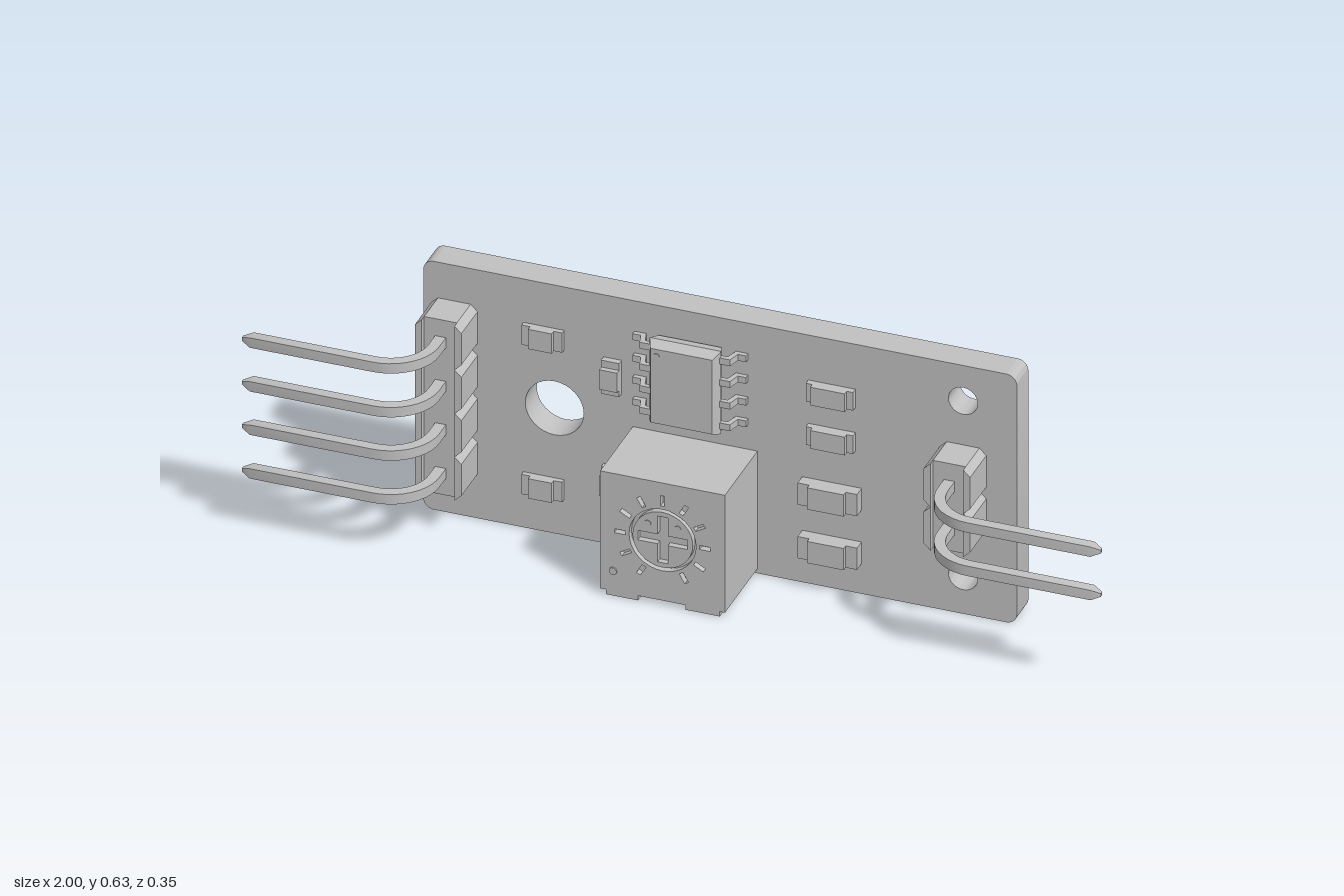
import * as THREE from 'three';
import { toCreasedNormals } from 'three/addons/utils/BufferGeometryUtils.js';

const FACE = -0.062; // front surface of the circuit board

export function createModel() {
  const model = new THREE.Group();
  model.name = 'sensorBoard';
  const grey = new THREE.MeshStandardMaterial({ color: 0xc0c0c0 });
  grey.name = 'lightGrey';

  const add = (name, geometry, parent = model) => {
    const mesh = new THREE.Mesh(geometry, grey);
    mesh.name = name;
    parent.add(mesh);
    return mesh;
  };
  const group = (name, x = 0, y = 0) => {
    const g = new THREE.Group();
    g.name = name;
    g.position.set(x, y, 0);
    model.add(g);
    return g;
  };
  // Box given by its limits on each axis
  const box = (name, x0, x1, y0, y1, z0, z1, parent) => {
    const mesh = add(name, new THREE.BoxGeometry(x1 - x0, y1 - y0, z1 - z0), parent);
    mesh.position.set((x0 + x1) / 2, (y0 + y1) / 2, (z0 + z1) / 2);
    return mesh;
  };
  const polygon = (pts) => new THREE.Shape(pts.map(([x, y]) => new THREE.Vector2(x, y)));
  const slab = (shape, z0, z1, curveSegments = 16) => {
    const g = new THREE.ExtrudeGeometry(shape, { depth: z1 - z0, bevelEnabled: false, curveSegments });
    g.translate(0, 0, z0);
    return toCreasedNormals(g, 0.6);
  };
  const circle = (x, y, r) => new THREE.Path().absarc(x, y, r, 0, Math.PI * 2, true);
  // Skin over equal-sized closed loops, capped at both ends
  const loft = (loops) => {
    const n = loops[0].length;
    const index = [];
    for (let i = 0; i < loops.length - 1; i++) {
      for (let j = 0; j < n; j++) {
        const a = i * n + j, b = i * n + (j + 1) % n;
        index.push(a, b, b + n, a, b + n, a + n);
      }
    }
    const end = (loops.length - 1) * n;
    for (let j = 1; j < n - 1; j++) index.push(0, j + 1, j, end, end + j, end + j + 1);
    const g = new THREE.BufferGeometry();
    g.setAttribute('position', new THREE.Float32BufferAttribute(loops.flat(2), 3));
    g.setIndex(index);
    return toCreasedNormals(g, 0.5);
  };

  // Circuit board with rounded corners and mounting holes
  const [l, r, t, c] = [-0.665, 0.715, 0.63, 0.025];
  const board = new THREE.Shape();
  board.absarc(r - c, c, c, -Math.PI / 2, 0);
  board.absarc(r - c, t - c, c, 0, Math.PI / 2);
  board.absarc(l + c, t - c, c, Math.PI / 2, Math.PI);
  board.absarc(l + c, c, c, Math.PI, Math.PI * 1.5);
  board.closePath();
  board.holes.push(circle(-0.36, 0.318, 0.068), circle(0.59, 0.54, 0.034), circle(0.59, 0.095, 0.034));
  add('circuitBoard', slab(board, -0.132, FACE));

  // Bent square pin with tapered tips
  const h = 0.0125, bend = 0.1;
  const stations = [[0, -0.172, 0, 0.007], [0, -0.162, 0, h]];
  for (let i = 0; i <= 10; i++) {
    const a = (i / 10) * Math.PI / 2;
    stations.push([bend * (1 - Math.cos(a)), 0.062 + bend * Math.sin(a), a, h]);
  }
  stations.push([0.386, 0.162, Math.PI / 2, h], [0.407, 0.162, Math.PI / 2, 0.004]);
  const pinGeometry = loft(stations.map(([x, z, a, s]) =>
    [[-1, -1], [1, -1], [1, 1], [-1, 1]].map(([u, v]) =>
      [x + u * s * Math.cos(a), v * s, z - u * s * Math.sin(a)])));

  // Pin headers: chamfered cells with raised side walls
  const core = slab(polygon([[-0.054, -0.04], [-0.038, -0.0555], [0.038, -0.0555], [0.054, -0.04],
    [0.054, 0.04], [0.038, 0.0555], [-0.038, 0.0555], [-0.054, 0.04]]), FACE, 0.022);
  const wall = slab(polygon([[0.038, -0.0555], [0.054, -0.04], [0.054, 0.04], [0.038, 0.0555]]), 0.022, 0.037);
  const header = (name, x, rows, turn) => {
    for (const y of rows) {
      const cell = group(name, x, y);
      cell.rotation.z = turn;
      add('headerCell', core, cell);
      add('headerWall', wall, cell);
      add('headerWall', wall, cell).rotation.z = Math.PI;
      add('bentPin', pinGeometry, cell);
    }
  };
  header('rightHeader', -0.593, [0.152, 0.263, 0.373, 0.484], Math.PI);
  header('leftHeader', 0.59, [0.263, 0.373], 0);

  // Trimmer: housing, slotted dial, scale grooves and feet
  const cx = -0.033, cy = 0.165;
  box('trimmerHousing', -0.178, 0.112, 0.012, 0.31, FACE, 0.122);
  const cover = polygon([[-0.178, 0.012], [0.112, 0.012], [0.112, 0.31], [-0.178, 0.31]]);
  cover.holes.push(circle(cx, cy, 0.078));
  for (let i = 0; i < 11; i++) {
    const a = -Math.PI / 2 + (i + 1) * Math.PI / 6;
    const [ca, sa] = [Math.cos(a), Math.sin(a)];
    const corners = [[0.086, -0.005], [0.112, -0.005], [0.112, 0.005], [0.086, 0.005]];
    cover.holes.push(polygon(corners.map(([u, v]) => [cx + u * ca - v * sa, cy + u * sa + v * ca])));
  }
  add('trimmerCover', slab(cover, 0.122, 0.137));
  const dial = new THREE.Shape().absarc(cx, cy, 0.07, 0, Math.PI * 2);
  const [a, b] = [0.012, 0.058];
  dial.holes.push(polygon([[-a, -b], [a, -b], [a, -a], [b, -a], [b, a], [a, a], [a, b], [-a, b],
    [-a, a], [-b, a], [-b, -a], [-a, -a]].map(([x, y]) => [cx + x, cy + y])));
  add('trimmerDial', slab(dial, 0.122, 0.136));

  const rod = (name, x, y, radius, z0, z1) => {
    const g = new THREE.CylinderGeometry(radius, radius, z1 - z0, 16);
    g.rotateX(Math.PI / 2);
    add(name, g).position.set(x, y, (z0 + z1) / 2);
  };
  rod('markerDot', -0.148, 0.063, 0.009, 0.13, 0.14);
  for (const x of [-0.068, 0.002]) rod('dialDot', x, 0.2, 0.008, 0.13, 0.138);
  for (const [x0, x1] of [[-0.165, -0.09], [0.02, 0.1]]) box('trimmerFoot', x0, x1, 0, 0.012, FACE, 0.137);
  for (const [x, y] of [[-0.145, 0.158], [-0.033, 0.275], [0.08, 0.158]]) {
    rod('trimmerPin', x, y, 0.01, -0.15, -0.12);
  }

  // Chip with drafted sides and four leads on each side
  const chip = group('chip', -0.042, 0.463);
  const rect = (w, d, z) => [[-w, -d, z], [w, -d, z], [w, d, z], [-w, d, z]];
  add('chipBody', loft([rect(0.073, 0.096, -0.056), rect(0.083, 0.105, -0.026), rect(0.072, 0.094, -0.001)]), chip);
  const leadShape = polygon([[0.075, -0.022], [0.105, -0.022], [0.113, -0.05], [0.132, -0.05],
    [0.132, -0.061], [0.104, -0.061], [0.096, -0.033], [0.075, -0.033]]);
  const leadGeometry = slab(leadShape, -0.008, 0.008);
  leadGeometry.rotateX(Math.PI / 2); // profile height becomes depth
  for (const turn of [0, Math.PI]) {
    for (let i = 0; i < 4; i++) {
      const holder = new THREE.Group();
      holder.name = 'chipLead';
      holder.rotation.z = turn;
      holder.position.y = (i - 1.5) * 0.055;
      add('lead', leadGeometry, holder);
      chip.add(holder);
    }
  }
  rod('chipMark', -0.1, 0.54, 0.007, -0.004, 0.001);

  // Small surface parts: raised body between two lower end caps
  const component = (name, x, y, length, bodyLength, width, top, turn = 0) => {
    const g = group(name, x, y);
    g.rotation.z = turn;
    box('componentBody', -bodyLength / 2, bodyLength / 2, -width / 2, width / 2, FACE, top, g);
    for (const s of [-1, 1]) {
      const inner = s * bodyLength / 2, outer = s * length / 2;
      box('endCap', Math.min(inner, outer), Math.max(inner, outer), -width / 2, width / 2, FACE, top - 0.012, g);
    }
  };
  for (const y of [0.495, 0.116]) component('indicator', -0.385, y, 0.095, 0.055, 0.05, -0.038);
  for (const y of [0.43, 0.16]) component('capacitor', -0.225, y, 0.085, 0.05, 0.042, -0.035, Math.PI / 2);
  for (const y of [0.493, 0.383]) component('smallResistor', 0.285, y, 0.11, 0.08, 0.046, -0.035);
  for (const y of [0.24, 0.104]) component('largeResistor', 0.285, y, 0.138, 0.085, 0.055, -0.022);

  return model;
}
